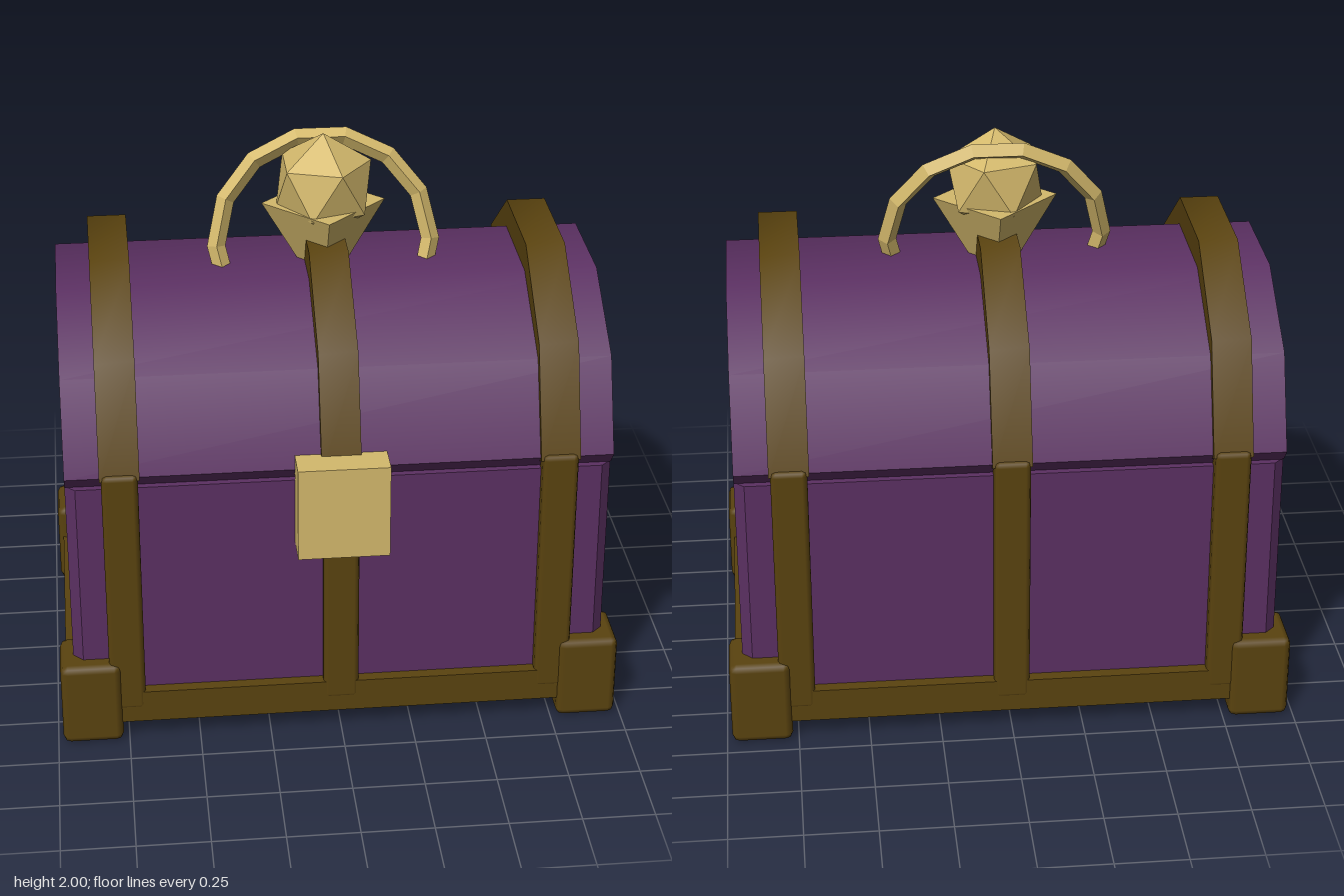
import * as THREE from 'three';
import { toCreasedNormals } from 'three/addons/utils/BufferGeometryUtils.js';
import { RoundedBoxGeometry } from 'three/addons/geometries/RoundedBoxGeometry.js';
import { ConvexGeometry } from 'three/addons/geometries/ConvexGeometry.js';

const CZ = -0.027; // depth centre of the chest

export function createModel() {
  const root = new THREE.Group();
  root.name = 'treasureChest';
  const purple = new THREE.MeshStandardMaterial({ color: 0x5b3062 });
  purple.name = 'purple panel';
  const bronze = new THREE.MeshStandardMaterial({ color: 0x5a430f });
  bronze.name = 'dark bronze';
  const gold = new THREE.MeshStandardMaterial({ color: 0xd4b96c });
  gold.name = 'gold';

  const add = (name, geo, mat, x = 0, y = 0, z = 0) => {
    const mesh = new THREE.Mesh(geo, mat);
    mesh.name = name;
    mesh.position.set(x, y, z);
    root.add(mesh);
    return mesh;
  };
  const flat = (geo) => {
    const g = geo.index ? geo.toNonIndexed() : geo;
    g.computeVertexNormals();
    return g;
  };
  // Half profile of [depth, height] points, mirrored front to back, extruded along x
  const arched = (half, width) => {
    const mirrored = half.map(([d, y]) => [-d, y]).reverse();
    const shape = new THREE.Shape([...half, ...mirrored].map(([d, y]) => new THREE.Vector2(d, y)));
    const geo = new THREE.ExtrudeGeometry(shape, { depth: width, bevelEnabled: false });
    geo.translate(0, 0, -width / 2).rotateY(-Math.PI / 2);
    return toCreasedNormals(geo, 0.75);
  };

  // Lower chest with chamfered upright corners
  const w = 0.935, d = 0.61, cx = 0.035, cz = 0.035;
  const plan = [[w, -d + cz], [w, d - cz], [w - cx, d], [-w + cx, d],
    [-w, d - cz], [-w, -d + cz], [-w + cx, -d], [w - cx, -d]];
  const bodyShape = new THREE.Shape(plan.map(([x, z]) => new THREE.Vector2(x, -z)));
  const body = new THREE.ExtrudeGeometry(bodyShape, { depth: 0.885, bevelEnabled: false });
  body.rotateX(-Math.PI / 2);
  add('chestBody', toCreasedNormals(body, 0.4), purple, 0, 0.1, CZ);

  // Domed lid with an overhanging lip
  add('lid', arched([[0.585, 0.985], [0.628, 1.035], [0.505, 1.35], [0.195, 1.54]], 2 * w), purple, 0, 0, CZ);

  // Base frame and corner feet
  add('baseFrame', new THREE.BoxGeometry(1.93, 0.12, 1.304), bronze, 0, 0.13, CZ);
  for (const sx of [-1, 1]) {
    for (const sz of [-1, 1]) {
      add('cornerFoot', new RoundedBoxGeometry(0.212, 0.31, 0.215, 1, 0.025), bronze,
        sx * 0.876, 0.155, CZ + sz * 0.562);
    }
  }

  // Straps over the lid and down the front and back
  for (const x of [-0.75, 0, 0.75]) {
    add('lidStrap', arched([[0.58, 1.0], [0.645, 1.03], [0.515, 1.41], [0.2, 1.64]], 0.136), bronze, x, 0, CZ);
    for (const sz of [-1, 1]) {
      add('bodyStrap', new RoundedBoxGeometry(0.124, 0.93, 0.08, 1, 0.018), bronze, x, 0.585, CZ + sz * 0.615);
    }
  }

  // Lock plate
  add('lockPlate', new THREE.BoxGeometry(0.314, 0.34, 0.12), gold, 0, 0.91, 0.64);

  // Square gem socket, set corner to the front
  add('gemSocket', flat(new THREE.CylinderGeometry(0.215, 0.075, 0.24, 4)), gold, 0, 1.63, -0.022);

  // Faceted twenty-sided gem standing on a point
  const r = 0.185, points = [new THREE.Vector3(0, r, 0), new THREE.Vector3(0, -r, 0)];
  for (let i = 0; i < 5; i++) {
    const a = (i / 5) * Math.PI * 2, k = r * 0.8944;
    const x = Math.cos(a) * k, z = Math.sin(a) * k;
    points.push(new THREE.Vector3(x, r * 0.4472, z), new THREE.Vector3(-x, -r * 0.4472, -z));
  }
  add('gem', new ConvexGeometry(points), gold, 0, 1.815, -0.02);

  // Hoop handle leaning backwards, ends sunk in the lid
  const step = (Math.PI * 2) / 14;
  const hoop = new THREE.TorusGeometry(0.375, 0.032, 4, 9, step * 9);
  hoop.rotateZ(-step).rotateX(-0.29);
  add('handle', flat(hoop), gold, 0, 1.6, -0.012);

  return root;
}
